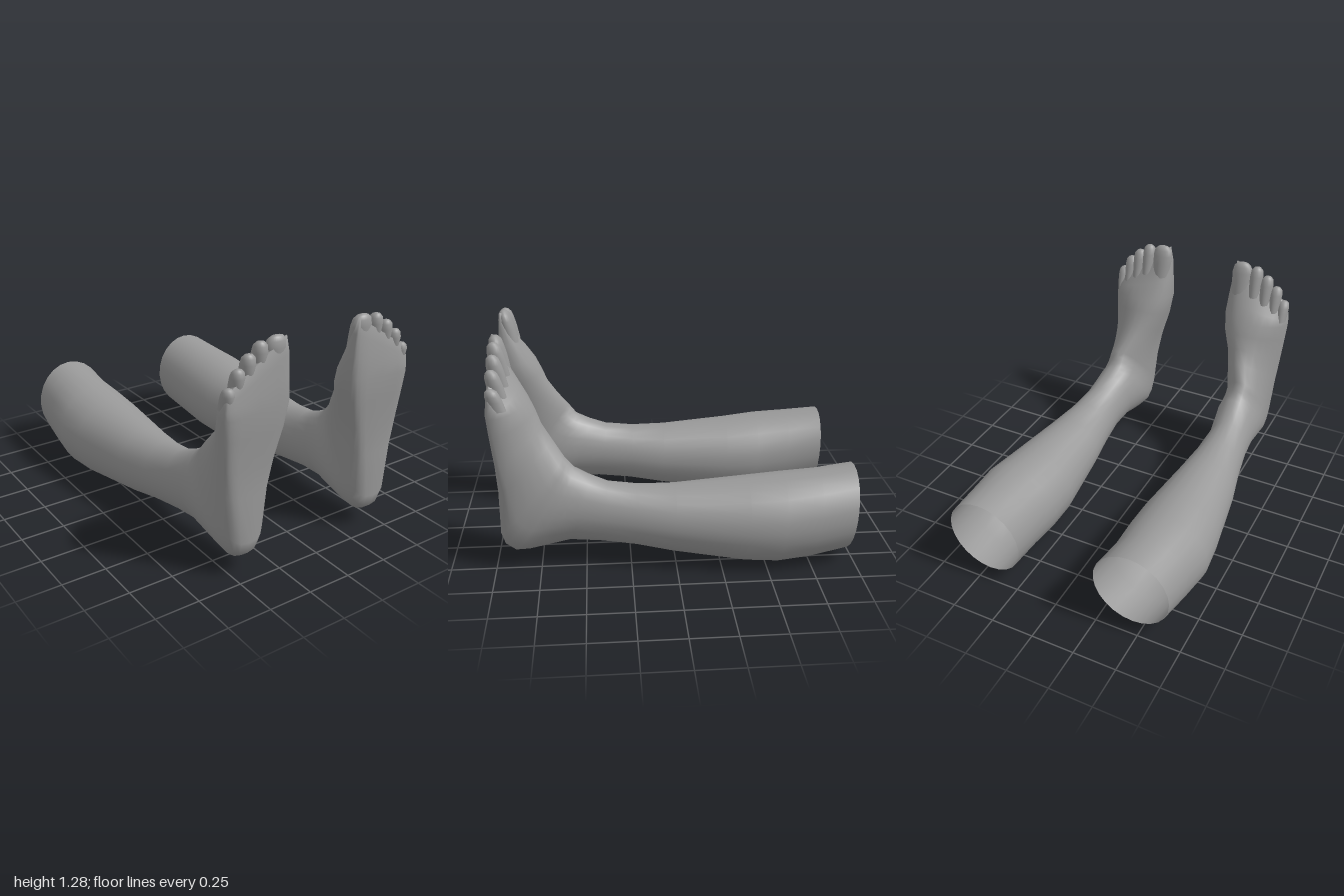
import * as THREE from 'three';

const SEGMENTS = 24;
const { clamp } = THREE.MathUtils;

// Calf cross-sections: [top y, top z, bottom y, bottom z, inner x, outer x]
const CALF = [
  [0.54, -1.0, 0.05, -0.96, 0.23, 0.67],
  [0.52, -0.8, 0.012, -0.74, 0.24, 0.695],
  [0.505, -0.6, 0.0, -0.56, 0.228, 0.72],
  [0.485, -0.4, 0.007, -0.38, 0.23, 0.7],
  [0.455, 0, 0.07, 0.02, 0.275, 0.64],
  [0.457, 0.2, 0.108, 0.22, 0.303, 0.597],
  [0.48, 0.37, 0.13, 0.42, 0.318, 0.568],
];

// Foot cross-sections: [instep y, instep z, sole y, sole z, inner x, outer x]
const FOOT = [
  [0.52, 0.47, 0.137, 0.59, 0.3, 0.562],
  [0.55, 0.525, 0.105, 0.72, 0.287, 0.562],
  [0.565, 0.55, 0.083, 0.82, 0.287, 0.558],
  [0.59, 0.57, 0.085, 0.895, 0.29, 0.555],
  [0.61, 0.585, 0.13, 0.95, 0.292, 0.553],
  [0.635, 0.605, 0.2, 0.97, 0.292, 0.553],
  [0.72, 0.665, 0.46, 0.965, 0.28, 0.562],
  [0.8, 0.718, 0.63, 0.972, 0.258, 0.571],
  [0.88, 0.75, 0.8, 0.99, 0.218, 0.583],
  [0.96, 0.785, 0.94, 1.0, 0.197, 0.59],
  [1.06, 0.835, 1.05, 0.995, 0.203, 0.588],
  [1.15, 0.89, 1.16, 0.987, 0.21, 0.582],
  [1.24, 0.94, 1.245, 0.975, 0.225, 0.572],
];

// Toes: [name, centre x, half width, tip y, length, forward shift]
const TOES = [
  ['bigToe', 0.271, 0.062, 1.278, 0.2, 0],
  ['secondToe', 0.366, 0.04, 1.266, 0.18, 0],
  ['thirdToe', 0.436, 0.039, 1.218, 0.17, 0.004],
  ['fourthToe', 0.499, 0.037, 1.157, 0.15, 0.01],
  ['littleToe', 0.553, 0.034, 1.072, 0.12, 0.012],
];

// One ring: flattened at the sole, pinched behind the ankle, sloping to the little toe
function ring([ay, az, by, bz, x0, x1], side, isToe) {
  const flat = isToe ? 0 : clamp((ay - 0.565) / 0.235, 0, 1);
  const slant = isToe ? 0 : clamp((by - 0.9) * 2, 0, 0.65);
  const shift = isToe ? 0 : -0.045 * Math.sin(Math.PI * clamp(by - 0.2, 0, 1));
  const pinch = isToe ? 0 : 0.2 * Math.sin(Math.PI * clamp((bz - 0.3) / 0.62, 0, 1));
  const mid = 0.5 + 0.2 * flat;
  const cy = ay + (by - ay) * mid, cz = az + (bz - az) * mid;
  const cx = (x0 + x1) / 2, half = (x1 - x0) / 2;
  const points = [];
  for (let j = 0; j < SEGMENTS; j++) {
    const angle = (j / SEGMENTS) * Math.PI * 2;
    const c = Math.cos(angle), s = Math.sin(angle);
    const power = c < 0 ? 2 / (2 + 2.5 * flat) : 1;
    const along = Math.abs(c) ** power;
    const [ey, ez] = c < 0 ? [by, bz] : [ay, az];
    const width = half * (1 - pinch * Math.min(c, 0) ** 2);
    const x = cx + width * Math.sign(s) * Math.abs(s) ** power + shift * Math.max(c, 0);
    const y = cy + (ey - cy) * along - slant * (x - 0.27);
    points.push(new THREE.Vector3(side * x, y, cz + (ez - cz) * along));
  }
  return points;
}

// Skin over the rings, closed at the far end only
function loft(rings, side) {
  const points = rings.flat();
  const index = [];
  const face = (a, b, c) => (side > 0 ? index.push(a, b, c) : index.push(a, c, b));
  const start = points.length - SEGMENTS;
  const tip = new THREE.Vector3();
  rings.at(-1).forEach((p) => tip.addScaledVector(p, 1 / SEGMENTS));
  points.push(tip);
  for (let j = 0; j < SEGMENTS; j++) {
    const k = (j + 1) % SEGMENTS;
    for (let row = 0; row < start; row += SEGMENTS) {
      face(row + j, row + j + SEGMENTS, row + k);
      face(row + k, row + j + SEGMENTS, row + k + SEGMENTS);
    }
    face(start + j, points.length - 1, start + k);
  }
  const geometry = new THREE.BufferGeometry().setFromPoints(points);
  geometry.setIndex(index);
  geometry.computeVertexNormals();
  return geometry;
}

// A toe thins from its root to a rounded tip
function toeSections(x, halfWidth, tip, length, dz) {
  // [distance below tip, front z, back z, width factor]
  const steps = [
    [length, 0.87, 0.965, 0.85],
    [length * 0.55, 0.887, 0.978, 0.95],
    [length * 0.3, 0.9, 0.984, 1],
    [length * 0.12, 0.912, 0.981, 0.88],
    [length * 0.03, 0.928, 0.97, 0.55],
    [0, 0.942, 0.958, 0.2],
  ];
  return steps.map(([d, front, back, f]) =>
    [tip - d, front + dz, tip - d, back + dz / 2, x - halfWidth * f, x + halfWidth * f]);
}

export function createModel() {
  const model = new THREE.Group();
  model.name = 'lowerLegs';
  const skin = new THREE.MeshStandardMaterial({ color: 0x999999, side: THREE.DoubleSide });

  for (const side of [1, -1]) {
    const leg = new THREE.Group();
    leg.name = side > 0 ? 'leftLeg' : 'rightLeg';
    const add = (name, sections, isToe) => {
      const rings = sections.map((section) => ring(section, side, isToe));
      const mesh = new THREE.Mesh(loft(rings, side), skin);
      mesh.name = name;
      leg.add(mesh);
    };

    // Calf, ankle, heel and foot share one skin
    add('calfAndFoot', [...CALF, ...FOOT], false);
    for (const [name, ...size] of TOES) add(name, toeSections(...size), true);
    model.add(leg);
  }
  return model;
}
